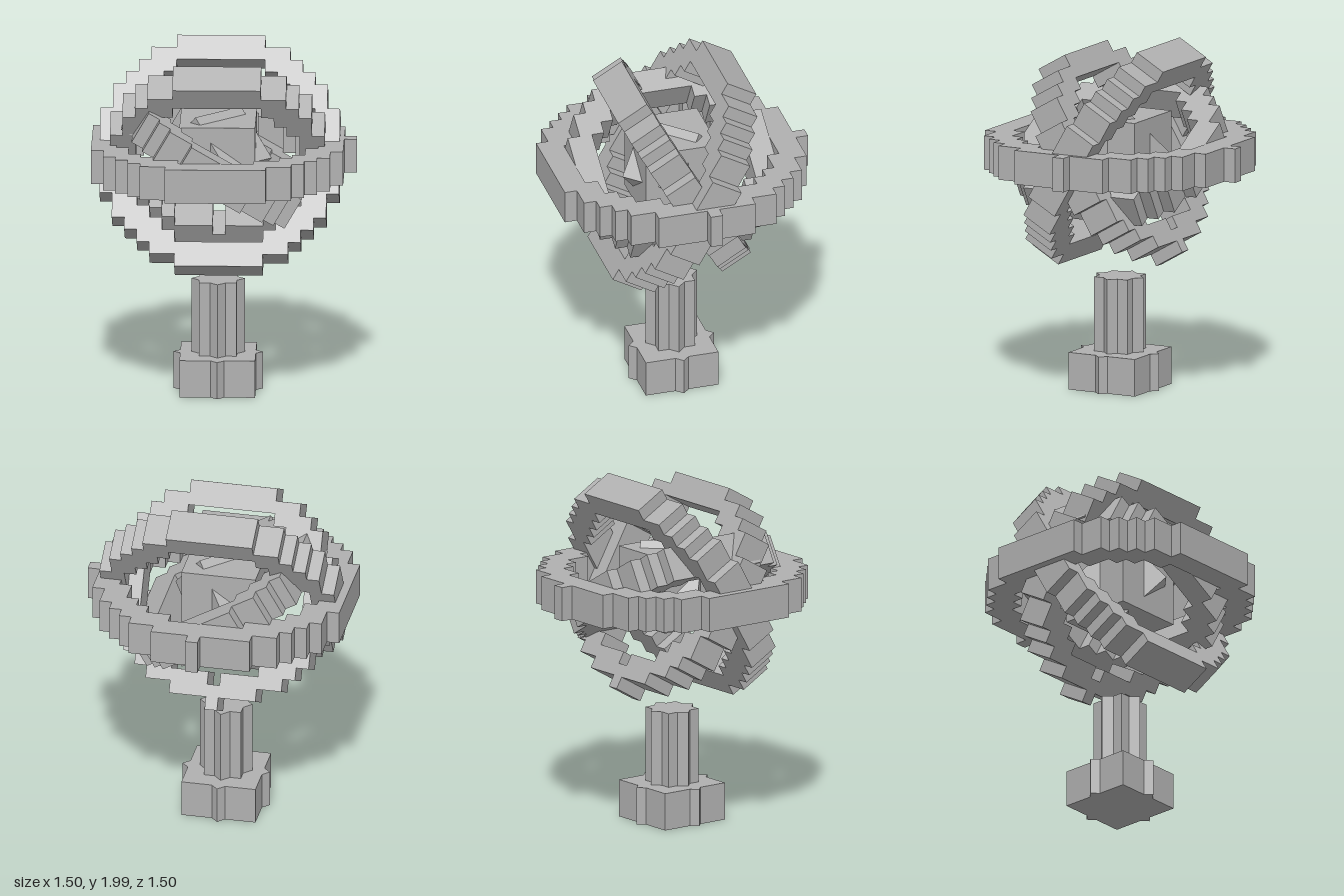
import * as THREE from 'three';

const S = 0.0712;                 // grid step
const CX = -0.037, CY = 1.358, CZ = 0.036;
const THICK = 0.195;

// Stepped circle outline of radius R cells; dip lowers the bottom middle step, trim drops right-hand columns
function steppedOutline(R, dip = 0, trim = 0) {
  const top = [], bottom = [];
  const start = R % 1 ? 0 : 0.5;
  for (let x = -R + 0.5; x < R - trim; x++) {
    let h = start;
    while (x * x + (h + 1) ** 2 < R * R + R / 2) h++;
    h += 0.5;
    const low = -h - (x === 0 ? dip : 0);
    top.push([x - 0.5, h], [x + 0.5, h]);
    bottom.push([x - 0.5, low], [x + 0.5, low]);
  }
  return [...bottom, ...top.reverse()]
    .map(([x, y]) => new THREE.Vector2(x * S, y * S))
    .filter((p, i, a) => i === 0 || p.distanceTo(a[i - 1]) > 1e-5);
}

export function createModel() {
  const model = new THREE.Group();
  const stone = new THREE.MeshStandardMaterial({ color: 0xb0b0b0 });
  stone.name = 'grey stone';

  const add = (name, geometry, x, y, z, parent = model) => {
    const mesh = new THREE.Mesh(geometry, stone);
    mesh.name = name;
    mesh.position.set(x, y, z);
    parent.add(mesh);
    return mesh;
  };

  // Ring two cells wide, built in the xy plane and then turned
  const ring = (name, R, rx, rz, x = CX, dip = 0, trim = 0) => {
    const shape = new THREE.Shape(steppedOutline(R, dip, trim));
    shape.holes.push(new THREE.Path(steppedOutline(R - 2, dip, trim)));
    const geometry = new THREE.ExtrudeGeometry(shape, { depth: THICK, bevelEnabled: false });
    geometry.translate(0, 0, -THICK / 2);
    geometry.rotateX(rx);
    geometry.rotateZ(rz);
    return add(name, geometry, x, CY, CZ);
  };

  const tilt = Math.PI / 6;
  ring('horizontalRing', 10, -Math.PI / 2, 0);
  ring('backTiltedRing', 9.5, -tilt, 0, -0.026);
  ring('frontTiltedRing', 8.5, tilt, 0, CX, 1);
  ring('innerRing', 8, -Math.PI / 2, -tilt, CX, 0, 1);

  // Single-cell lugs on the horizontal ring
  add('backLug', new THREE.BoxGeometry(S, THICK, S), CX + S / 2, CY, CZ - 10.5 * S);
  add('leftLug', new THREE.BoxGeometry(S, THICK, S), CX + 10.5 * S, CY, CZ - S / 2);

  // Core: an upright cube with a smaller cube turned on its edge inside it
  add('coreCube', new THREE.BoxGeometry(6 * S, 6 * S, 6 * S), CX, CY, CZ);
  const turned = new THREE.BoxGeometry(5 * S, 5 * S, 5 * S);
  turned.rotateX(Math.PI / 4);
  turned.rotateY(Math.PI / 4);
  add('turnedCoreCube', turned, CX, CY, CZ);

  // Pedestal tiers: each is a square prism crossed with a diagonal one
  const tier = (name, side, diagonalSide, y0, height) => {
    const group = new THREE.Group();
    group.name = name;
    group.position.set(CX, y0 + height / 2, CZ);
    add(name + 'Square', new THREE.BoxGeometry(side, height, side), 0, 0, 0, group);
    add(name + 'Diagonal', new THREE.BoxGeometry(diagonalSide, height, diagonalSide), 0, 0, 0, group)
      .rotation.y = Math.PI / 4;
    model.add(group);
  };
  tier('base', 6 * S, 5 * S, 0, 3 * S);
  tier('column', 3 * S, 3 * S, 3 * S, 6 * S);

  return model;
}
